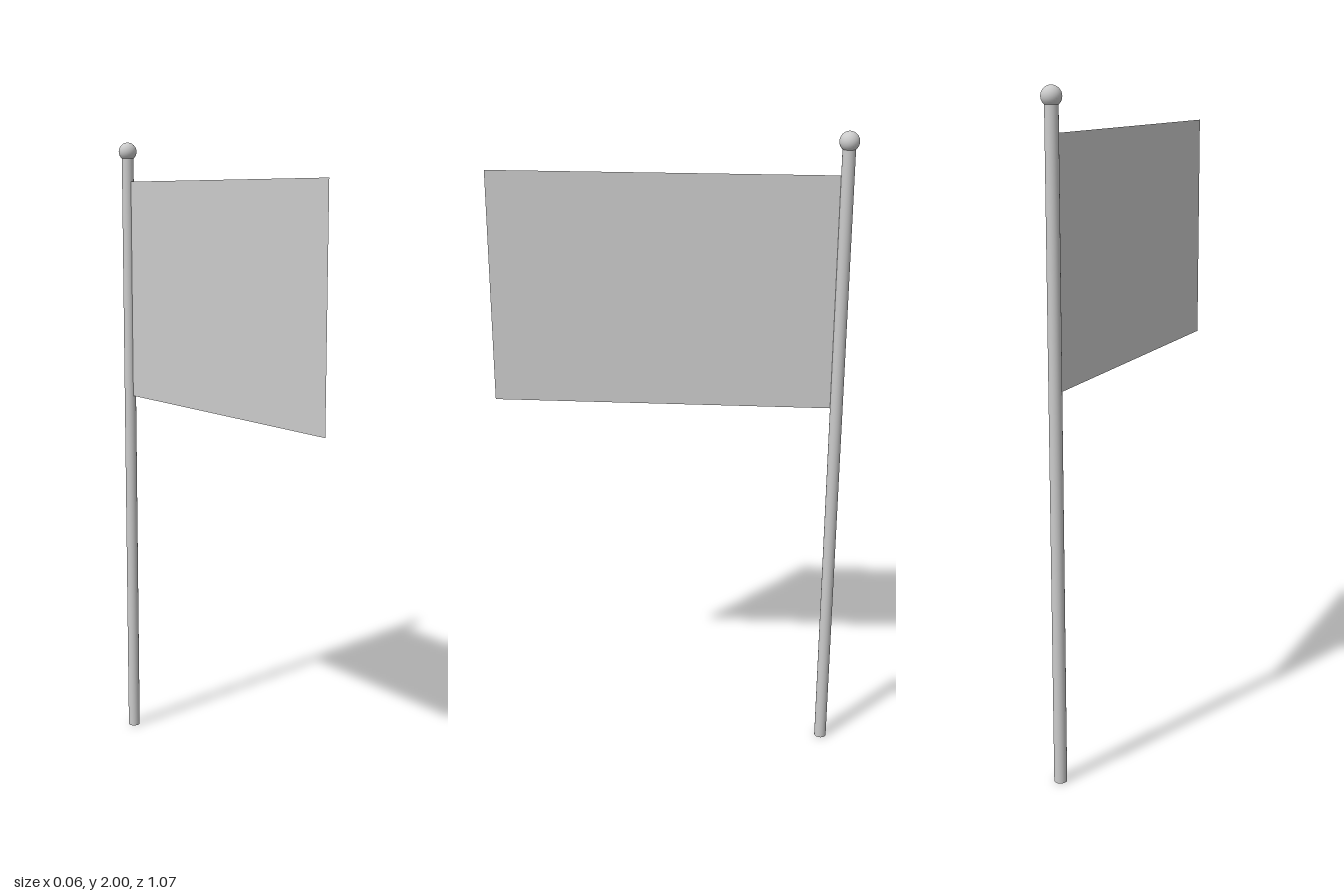
import * as THREE from 'three';

export function createModel() {
  const model = new THREE.Group();
  const grey = new THREE.MeshStandardMaterial({ color: 0xcccccc });
  const cloth = new THREE.MeshStandardMaterial({ color: 0xcccccc, side: THREE.DoubleSide });
  const poleZ = -0.507, poleRadius = 0.019, ballRadius = 0.029;

  function add(name, geometry, material, y, z) {
    const mesh = new THREE.Mesh(geometry, material);
    mesh.name = name;
    mesh.position.set(0, y, z);
    model.add(mesh);
  }

  // Upright pole, its top end hidden in the ball
  const poleHeight = 1.96;
  add('pole', new THREE.CylinderGeometry(poleRadius, poleRadius, poleHeight, 24), grey, poleHeight / 2, poleZ);

  // Ball finial
  add('finial', new THREE.SphereGeometry(ballRadius, 32, 16), grey, 2 - ballRadius, poleZ);

  // Flat flag, running forward from the pole's surface
  const bottom = 1.17, top = 1.875, near = poleZ + poleRadius, far = 0.536;
  const flag = new THREE.PlaneGeometry(far - near, top - bottom).rotateY(Math.PI / 2);
  add('flag', flag, cloth, (top + bottom) / 2, (near + far) / 2);

  return model;
}
